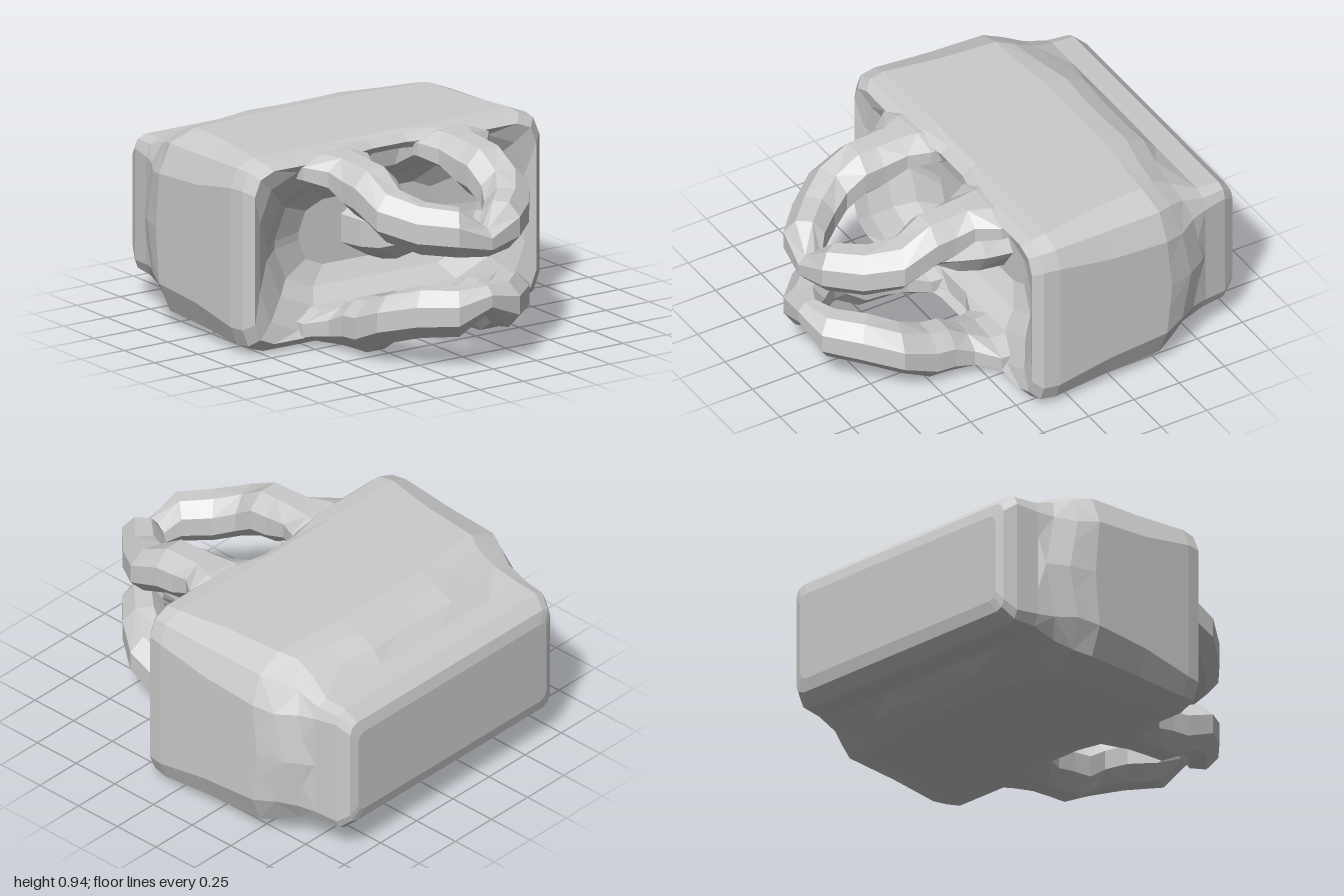
import * as THREE from 'three';

const MID = 0.48; // height of the horizontal symmetry plane
const material = new THREE.MeshStandardMaterial({ color: 0xcccccc, flatShading: true });

// Skins a list of equal-length rings and closes both ends with a fan.
function loft(name, rings) {
  const pos = [];
  const tri = (...pts) => pts.forEach((p) => pos.push(p.x, p.y, p.z));
  const n = rings[0].length;
  const centre = (ring) =>
    ring.reduce((s, p) => s.add(p), new THREE.Vector3()).divideScalar(n);
  const first = rings[0], last = rings[rings.length - 1];
  const c0 = centre(first), c1 = centre(last);
  for (let j = 0; j < n; j++) {
    const k = (j + 1) % n;
    tri(c0, first[k], first[j]);
    tri(c1, last[j], last[k]);
    for (let i = 0; i < rings.length - 1; i++) {
      const a = rings[i][j], b = rings[i][k], c = rings[i + 1][k], d = rings[i + 1][j];
      if ((i + j) % 2) { tri(a, b, c); tri(a, c, d); } else { tri(a, b, d); tri(b, c, d); }
    }
  }
  const geo = new THREE.BufferGeometry();
  geo.setAttribute('position', new THREE.Float32BufferAttribute(pos, 3));
  geo.computeVertexNormals();
  const mesh = new THREE.Mesh(geo, material);
  mesh.name = name;
  return mesh;
}

// Rounded rectangle, counter-clockwise seen from +z; wave shifts z by position.
function roundedRing([z, w, h, r, wave = 0]) {
  const corners = [[1, -1], [1, 1], [-1, 1], [-1, -1]];
  const arcs = corners.map(([sx, sy], q) =>
    [-90, -45, 0].map((deg) => {
      const a = THREE.MathUtils.degToRad(deg + q * 90);
      return new THREE.Vector3(
        sx * (w - r) + r * Math.cos(a), MID + sy * (h - r) + r * Math.sin(a), z);
    }));
  const ring = [];
  arcs.forEach((arc, q) => {
    ring.push(...arc);
    const next = arcs[(q + 1) % 4][0];
    const cuts = q % 2 ? 7 : 4;
    for (let i = 1; i < cuts; i++) ring.push(arc[2].clone().lerp(next, i / cuts));
  });
  ring.forEach((p) => {
    const side = Math.abs(p.x) > w - 0.02;
    p.z -= wave * (side
      ? Math.max(0, 1 - Math.abs(p.y - MID) / 0.3)
      : Math.sin(Math.abs(p.x) * 7.5) * 0.6);
  });
  return ring;
}

// Outer shell from back to rim, then inward to the dished front:
// [z, half width, half height, corner radius, wave]
function createBody() {
  const rings = [
    [-0.995, 0.65, 0.22, 0.04],
    [-0.98, 0.69, 0.28, 0.05],
    [-0.92, 0.72, 0.335, 0.06],
    [-0.8, 0.74, 0.345, 0.08],
    [-0.71, 0.765, 0.40, 0.14, 0.06],
    [-0.61, 0.825, 0.45, 0.2, 0.06],
    [-0.51, 0.865, 0.47, 0.2, 0.03],
    [-0.2, 0.868, 0.472, 0.18],
    [0.08, 0.868, 0.472, 0.13],
    [0.16, 0.855, 0.462, 0.12],
    [0.2, 0.81, 0.425, 0.11],
    [0.175, 0.765, 0.39, 0.22],
    [0.11, 0.68, 0.31, 0.27],
    [0.03, 0.58, 0.24, 0.22],
    [-0.03, 0.4, 0.16, 0.14],
  ].map(roundedRing);
  // The rim dips between the loop roots.
  rings.slice(9, 12).forEach((ring) => ring.forEach((p) => {
    if (Math.abs(p.x) < 0.25) p.z -= 0.08 * (1 - Math.abs(p.x) / 0.25);
  }));
  return loft('body', rings);
}

// One half of a loop: [x, height above mid, z, half width, half height]
const LOOP = [
  [0.34, 0.375, 0.04, 0.22, 0.07],
  [0.34, 0.385, 0.19, 0.2, 0.078],
  [0.325, 0.365, 0.29, 0.135, 0.095],
  [0.325, 0.33, 0.4, 0.125, 0.125],
  [0.325, 0.32, 0.5, 0.125, 0.13],
  [0.325, 0.25, 0.64, 0.122, 0.12],
  [0.24, 0.205, 0.77, 0.108, 0.12],
  [0.12, 0.195, 0.895, 0.1, 0.115],
  [0, 0.14, 0.935, 0.065, 0.07],
];

function createLoop(name, up) {
  const path = [...LOOP, ...LOOP.slice(0, -1).reverse().map(([x, ...rest]) => [-x, ...rest])];
  const pts = path.map(([x, y, z]) => new THREE.Vector3(x, MID + up * y, z));
  const rings = path.map(([, , , w, h], i) => {
    const a = pts[Math.max(0, i - 1)], b = pts[Math.min(pts.length - 1, i + 1)];
    const across = new THREE.Vector3(b.z - a.z, 0, a.x - b.x).normalize();
    return Array.from({ length: 8 }, (_, j) => {
      const t = (j + 0.5) * Math.PI / 4;
      const p = pts[i].clone().addScaledVector(across, w * 1.06 * Math.cos(t));
      p.y += h * 1.06 * Math.sin(t);
      return p;
    });
  });
  return loft(name, rings);
}

// Blunt peg rising from the dished front: [x, z, half width, half height]
function createPeg() {
  const rings = [
    [0.04, -0.05, 0.22, 0.16],
    [0.04, 0.1, 0.19, 0.15],
    [0.04, 0.2, 0.15, 0.125],
    [0.08, 0.31, 0.06, 0.035],
  ].map(([x, z, w, h]) => Array.from({ length: 7 }, (_, j) => {
    const t = j * Math.PI * 2 / 7;
    return new THREE.Vector3(x + w * Math.cos(t), MID + h * Math.sin(t), z);
  }));
  return loft('centrePeg', rings);
}

export function createModel() {
  const model = new THREE.Group();
  model.name = 'loopedBlock';
  model.add(createBody(), createLoop('upperLoop', 1), createLoop('lowerLoop', -1), createPeg());
  // Stand on the ground and centre.
  const box = new THREE.Box3().setFromObject(model);
  const c = box.getCenter(new THREE.Vector3());
  model.children.forEach((m) => m.geometry.translate(-c.x, -box.min.y, -c.z));
  return model;
}
